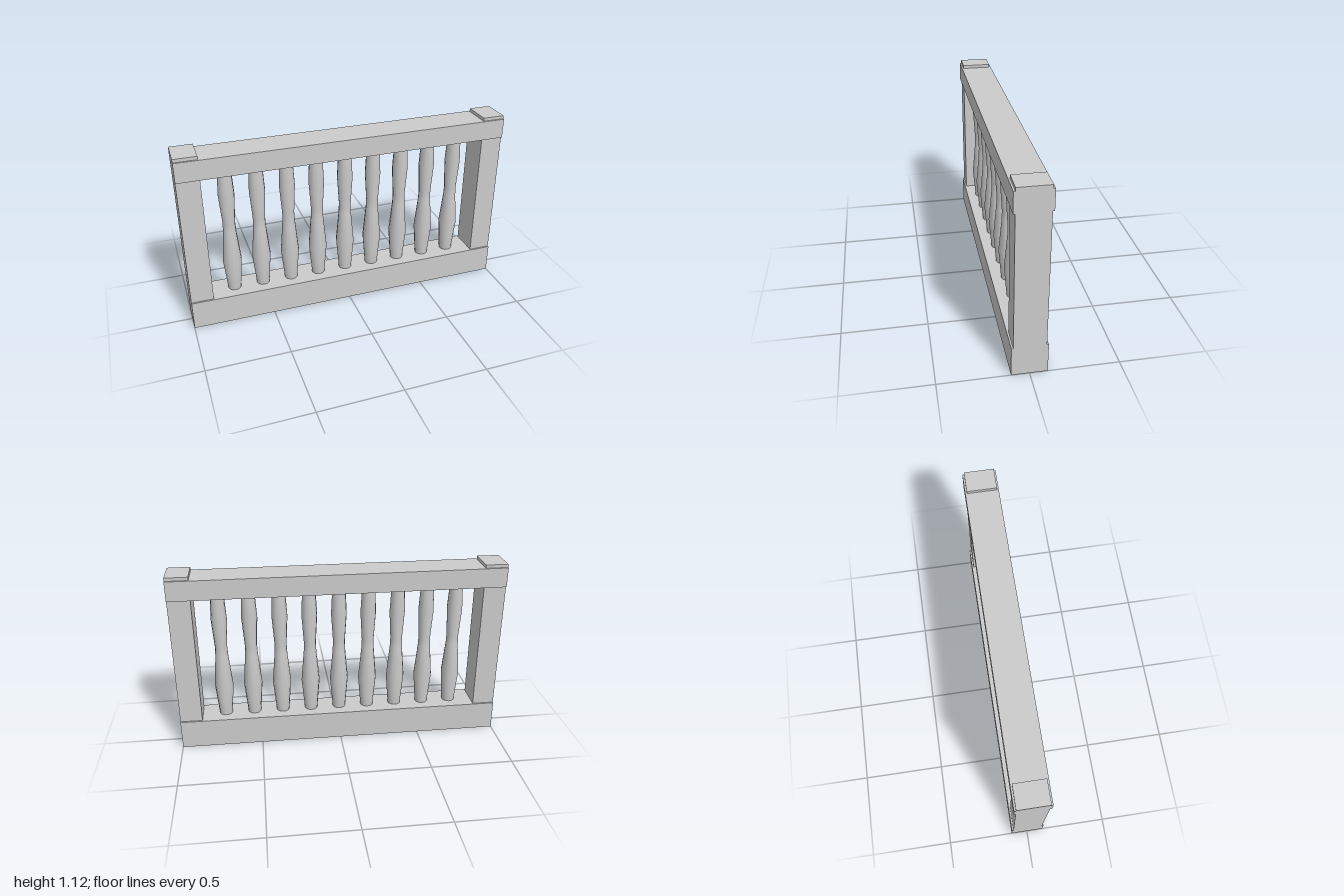
import * as THREE from 'three';

const material = new THREE.MeshStandardMaterial({ color: 0xcccccc });

// Box spanning y0..y1, centred on z
function block(name, x, y0, y1, width, depth) {
  const mesh = new THREE.Mesh(new THREE.BoxGeometry(width, y1 - y0, depth), material);
  mesh.name = name;
  mesh.position.set(x, (y0 + y1) / 2, 0);
  return mesh;
}

export function createModel() {
  const group = new THREE.Group();
  group.name = 'balustrade';

  // Rails
  group.add(block('bottomRail', 0, 0, 0.18, 2, 0.2));
  group.add(block('topRail', 0, 0.98, 1.1, 2, 0.2));

  // End posts, slightly thinner than the rails and rising above them
  for (const [name, side] of [['leftPost', 1], ['rightPost', -1]]) {
    group.add(block(name, side * 0.9325, 0, 1.12, 0.135, 0.18));
  }

  // Turned balusters with a low belly, a neck and a smaller upper swell
  const profile = [
    [0.04, 0.18], [0.057, 0.38], [0.039, 0.58], [0.037, 0.64], [0.048, 0.82], [0.04, 0.98],
  ].map(([r, y]) => new THREE.Vector2(r, y));
  const turned = new THREE.LatheGeometry(profile, 12);
  for (let i = 0; i < 9; i++) {
    const baluster = new THREE.Mesh(turned, material);
    baluster.name = `baluster${i + 1}`;
    baluster.position.x = (i - 4) * 0.18;
    group.add(baluster);
  }
  return group;
}
